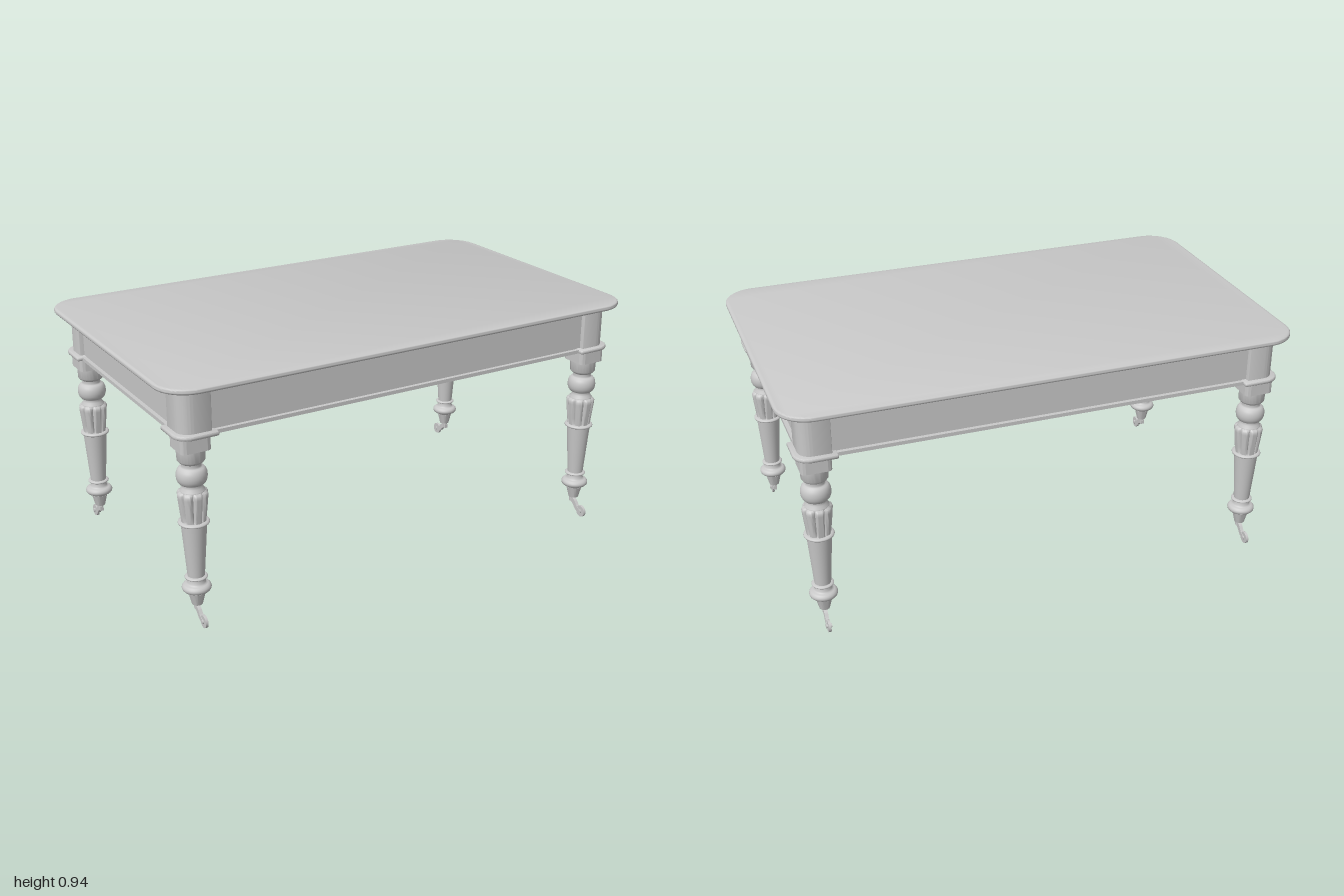
import * as THREE from 'three';
import { toCreasedNormals } from 'three/addons/utils/BufferGeometryUtils.js';

const wood = new THREE.MeshStandardMaterial({ color: 0xc8c8c8 });
wood.name = 'plain grey';

const LEG_X = 0.875, LEG_Z = 0.475;

function add(parent, name, geometry, x = 0, y = 0, z = 0) {
  const mesh = new THREE.Mesh(geometry, wood);
  mesh.name = name;
  mesh.position.set(x, y, z);
  parent.add(mesh);
  return mesh;
}

// Rectangle with its own radius for each corner: (++), (-+), (--), (+-)
function roundedRect(w, d, [a, b, c, e]) {
  const s = new THREE.Shape();
  const arc = (x, y, r, start) => s.absarc(x, y, Math.max(r, 0.0005), start, start + Math.PI / 2, false);
  arc(w - a, d - a, a, 0);
  arc(-w + b, d - b, b, Math.PI / 2);
  arc(-w + c, -d + c, c, Math.PI);
  arc(w - e, -d + e, e, Math.PI * 1.5);
  return s;
}

// Horizontal slab from y0 to y1, with an edge rounded by the given bevel
function slab(shape, y0, y1, bevel = 0, bevelWidth = bevel) {
  const geo = new THREE.ExtrudeGeometry(shape, {
    depth: y1 - y0 - 2 * bevel, curveSegments: 14, bevelEnabled: bevel > 0,
    bevelThickness: bevel, bevelSize: bevelWidth, bevelOffset: -bevelWidth, bevelSegments: 4,
  });
  geo.rotateX(Math.PI / 2);
  geo.translate(0, y1 - bevel, 0);
  return toCreasedNormals(geo, 0.7);
}

// Radii for a square piece whose outer corner alone is rounded
function outerCorner(sx, sz, big, small) {
  return [[1, 1], [-1, 1], [-1, -1], [1, -1]].map(([x, z]) => (x === sx && z === sz ? big : small));
}

function lathe(points, segments = 40) {
  return new THREE.LatheGeometry(points.map(([r, y]) => new THREE.Vector2(r, y)), segments);
}

// Half-round ring profile, listed from bottom to top
function bead(r, bulge, y, half, steps = 8) {
  return Array.from({ length: steps + 1 }, (_, i) => {
    const t = -Math.PI / 2 + (Math.PI * i) / steps;
    return [r + bulge * Math.cos(t), y + half * Math.sin(t)];
  });
}

// Turned section with eight raised petals, deepest in the middle
function petalGeometry() {
  const profile = [[0.045, 0.408], [0.046, 0.415], [0.049, 0.44], [0.053, 0.475], [0.056, 0.505],
    [0.057, 0.515], [0.054, 0.522], [0.044, 0.527]];
  const geo = lathe(profile, 96);
  const p = geo.attributes.position;
  for (let i = 0; i < p.count; i++) {
    const x = p.getX(i), z = p.getZ(i), y = p.getY(i);
    const wave = Math.abs(Math.cos(4 * Math.atan2(x, z)));
    const depth = y > 0.41 && y < 0.523 ? 0.2 : 0.05;
    const k = 1 - depth * Math.pow(1 - wave, 2);
    p.setXYZ(i, x * k, y, z * k);
  }
  geo.computeVertexNormals();
  return toCreasedNormals(geo, 0.8);
}

function makeLeg() {
  const leg = new THREE.Group();
  leg.name = 'leg';

  // Square head and round collar
  add(leg, 'legHead', slab(roundedRect(0.057, 0.057, [0.018, 0.018, 0.018, 0.018]), 0.688, 0.748));
  add(leg, 'collar', toCreasedNormals(lathe([[0, 0.632], [0.036, 0.632], [0.045, 0.638],
    [0.05, 0.645], [0.052, 0.69], [0, 0.69]]), 0.6));

  // Bulb and neck
  add(leg, 'bulb', lathe([[0.045, 0.525], [0.045, 0.53], [0.037, 0.54], [0.036, 0.55],
    ...bead(0.038, 0.018, 0.585, 0.032), [0.034, 0.622], [0.036, 0.634]]));

  add(leg, 'petals', petalGeometry());
  add(leg, 'middleRing', lathe(bead(0.044, 0.013, 0.404, 0.007)));

  // Tapered shaft
  add(leg, 'shaft', lathe([[0.03, 0.18], [0.032, 0.2], [0.047, 0.4]]));
  add(leg, 'lowerRing', lathe(bead(0.028, 0.014, 0.186, 0.006)));

  // Foot bulge and cup
  add(leg, 'footBulge', lathe([[0.03, 0.12], ...bead(0.034, 0.02, 0.144, 0.016), [0.034, 0.166],
    [0.029, 0.173], [0.031, 0.184]]));
  add(leg, 'footCup', toCreasedNormals(lathe([[0, 0.074], [0.02, 0.074], [0.032, 0.122], [0, 0.128]]), 0.6));

  // Caster: stem, swept arm, fork cheeks and wheel
  add(leg, 'casterStem', new THREE.CylinderGeometry(0.009, 0.009, 0.03, 16), 0, 0.065, -0.008);
  const arm = new THREE.Shape();
  arm.moveTo(-0.018, 0.068);
  arm.lineTo(-0.018, 0.05);
  arm.quadraticCurveTo(0.004, 0.05, 0.014, 0.034);
  arm.quadraticCurveTo(0.026, 0.016, 0.052, 0.02);
  arm.lineTo(0.056, 0.03);
  arm.quadraticCurveTo(0.036, 0.034, 0.026, 0.048);
  arm.quadraticCurveTo(0.016, 0.064, 0.002, 0.068);
  const armGeo = new THREE.ExtrudeGeometry(arm, { depth: 0.014, bevelEnabled: false, curveSegments: 8 });
  armGeo.rotateY(-Math.PI / 2);
  add(leg, 'casterArm', toCreasedNormals(armGeo, 0.6), 0.007, 0, 0);
  const wheel = new THREE.CylinderGeometry(0.024, 0.024, 0.01, 28).rotateZ(Math.PI / 2);
  add(leg, 'casterWheel', wheel, 0, 0.025, 0.054);
  const hub = new THREE.CylinderGeometry(0.008, 0.008, 0.022, 16).rotateZ(Math.PI / 2);
  add(leg, 'casterHub', hub, 0, 0.025, 0.054);
  return leg;
}

export function createModel() {
  const table = new THREE.Group();
  table.name = 'table';

  // Top with rounded corners and soft edge
  add(table, 'tableTop', slab(roundedRect(1, 0.592, [0.125, 0.125, 0.125, 0.125]), 0.922, 0.943, 0.009));

  // Apron boards and the moulding strips beneath them
  for (const s of [1, -1]) {
    add(table, 'longApron', new THREE.BoxGeometry(1.66, 0.168, 0.03), 0, 0.84, s * 0.5);
    add(table, 'shortApron', new THREE.BoxGeometry(0.03, 0.168, 0.86), s * 0.9, 0.84, 0);
    add(table, 'longMoulding', new THREE.BoxGeometry(1.62, 0.014, 0.055), 0, 0.75, s * 0.503);
    add(table, 'shortMoulding', new THREE.BoxGeometry(0.055, 0.014, 0.82), s * 0.903, 0.75, 0);
  }

  // Corners: post, stepped plate and turned leg
  for (const sx of [1, -1]) for (const sz of [1, -1]) {
    const x = sx * LEG_X, z = sz * LEG_Z;
    add(table, 'cornerPost', slab(roundedRect(0.058, 0.058, outerCorner(sx, sz, 0.05, 0.002)), 0.755, 0.924), x, 0, z);
    add(table, 'cornerPlate', slab(roundedRect(0.077, 0.077, outerCorner(sx, sz, 0.06, 0.006)), 0.742, 0.759, 0.006), x, 0, z);
    const leg = makeLeg();
    leg.position.set(x, 0, z);
    if (sz < 0) leg.rotation.y = Math.PI;
    table.add(leg);
  }
  return table;
}
